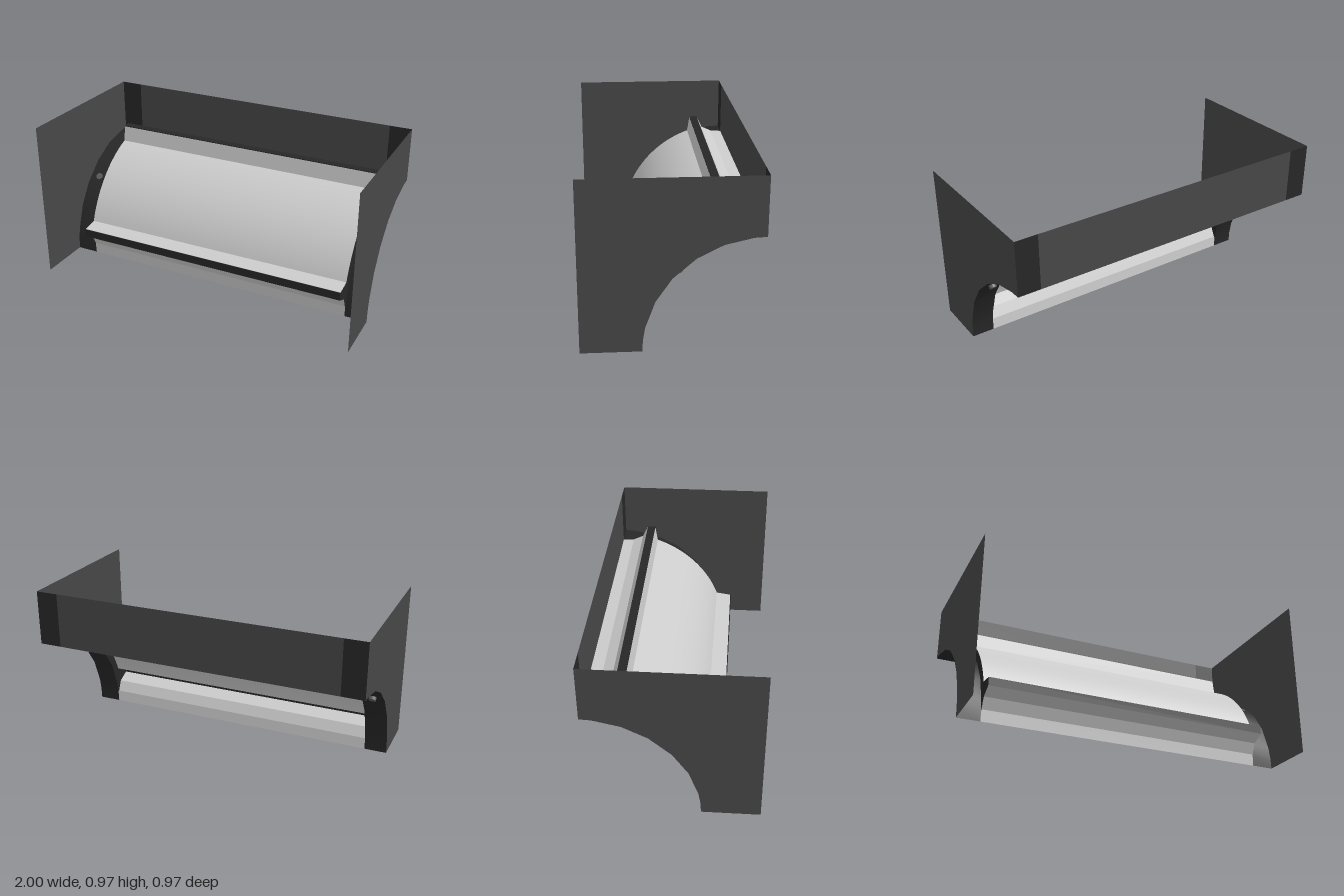
import * as THREE from 'three';

const W = 0.865;      // half width of the lens section
const Z0 = -0.485;    // back plane, also the axis of the cove
const R = 0.64;       // cove radius
const TOP = 0.97;

const mat = (name, color) => {
  const m = new THREE.MeshStandardMaterial({ color, side: THREE.DoubleSide });
  m.name = name;
  return m;
};

// Sheet swept along x from a profile of [u, v] points (u = distance from back, v = height)
function sheet(profile, x0, x1, smooth = false) {
  const pos = [], index = [];
  profile.forEach(([u, v], i) => {
    pos.push(x0, v, u + Z0, x1, v, u + Z0);
    if (i) {
      const a = 2 * i - 2;
      index.push(a, a + 1, a + 2, a + 1, a + 3, a + 2);
    }
  });
  let g = new THREE.BufferGeometry();
  g.setAttribute('position', new THREE.Float32BufferAttribute(pos, 3));
  g.setIndex(index);
  if (!smooth) g = g.toNonIndexed();
  g.computeVertexNormals();
  return g;
}

// Flat plate at a given x from an outline of [u, v] points
function plate(outline, x) {
  const g = new THREE.ShapeGeometry(new THREE.Shape(outline.map(([u, v]) => new THREE.Vector2(u, v))));
  return g.rotateY(-Math.PI / 2).translate(x, 0, Z0);
}

function arc(r, a0, a1, n) {
  return Array.from({ length: n + 1 }, (_, i) => {
    const a = a0 + (a1 - a0) * i / n;
    return [r * Math.cos(a), r * Math.sin(a)];
  });
}

const swap = pts => pts.map(([u, v]) => [v, u]);

export function createModel() {
  const group = new THREE.Group();
  const lensMat = mat('light grey lens', 0xcccccc);
  const panelMat = mat('charcoal panel', 0x474747);
  const darkMat = mat('black trim', 0x272727);
  const screwMat = mat('grey screw', 0x5c5c5c);
  const add = (name, geometry, material) => {
    const m = new THREE.Mesh(geometry, material);
    m.name = name;
    group.add(m);
    return m;
  };

  // Cove line shared by the side panels and end rims
  const cove = [0, 5.9, 12.6, 27, 41, 56, 70, 84, 90].map(d => {
    const a = THREE.MathUtils.degToRad(d);
    return [R * Math.cos(a), R * Math.sin(a)];
  });

  // Curved lens
  const a0 = Math.asin(0.235 / 0.69);
  const lens = arc(0.69, a0, Math.PI / 2 - a0, 20);
  add('lens', sheet(lens, -W, W, true), lensMat);

  // Lower and upper lens edges, mirrored across the diagonal
  const flange = [[0.745, 0.22], lens[0]];
  const trim = [[0.75, 0.17], [0.75, 0.22], [0.745, 0.22]];
  const flare = [[0.64, 0], [0.645, 0.07], [0.675, 0.134], [0.75, 0.17]];
  for (const [side, f] of [['lower', p => p], ['upper', swap]]) {
    add(side + 'LensFlange', sheet(f(flange), -W, W), lensMat);
    add(side + 'TrimStrip', sheet(f(trim), -W, W), darkMat);
    add(side + 'Flare', sheet(f(flare), -W, W), lensMat);
  }

  // Back panel
  add('backPanel', sheet([[0, R], [0, TOP]], -W, W), panelMat);

  // Closing wall between the cove and the lens
  const outer = [[0.645, 0.07], [0.675, 0.134], ...trim, ...lens,
    ...swap([[0.675, 0.134], ...trim]).reverse(), [0.07, 0.645]];
  const wall = [...outer, ...cove.slice(1, -1).reverse()];

  for (const s of [1, -1]) {
    const side = s > 0 ? 'left' : 'right';
    const x0 = Math.min(s * W, s), x1 = Math.max(s * W, s);
    add(side + 'SidePanel', plate([...cove, [0, TOP], [0.97, TOP], [0.97, 0]], s), panelMat);
    add(side + 'EndRim', sheet(cove, x0, x1, true), darkMat);
    add(side + 'BackCorner', sheet([[0, R], [0, TOP]], x0, x1), darkMat);
    add(side + 'EndWall', plate(wall, s * W), darkMat);

    // Screw head through the middle of the rim
    const screw = add(side + 'Screw', new THREE.CylinderGeometry(0.022, 0.022, 0.03, 10), screwMat);
    screw.rotation.x = Math.PI / 4;
    screw.position.set(s * 0.937, 0.45, Z0 + 0.44);
  }
  return group;
}
